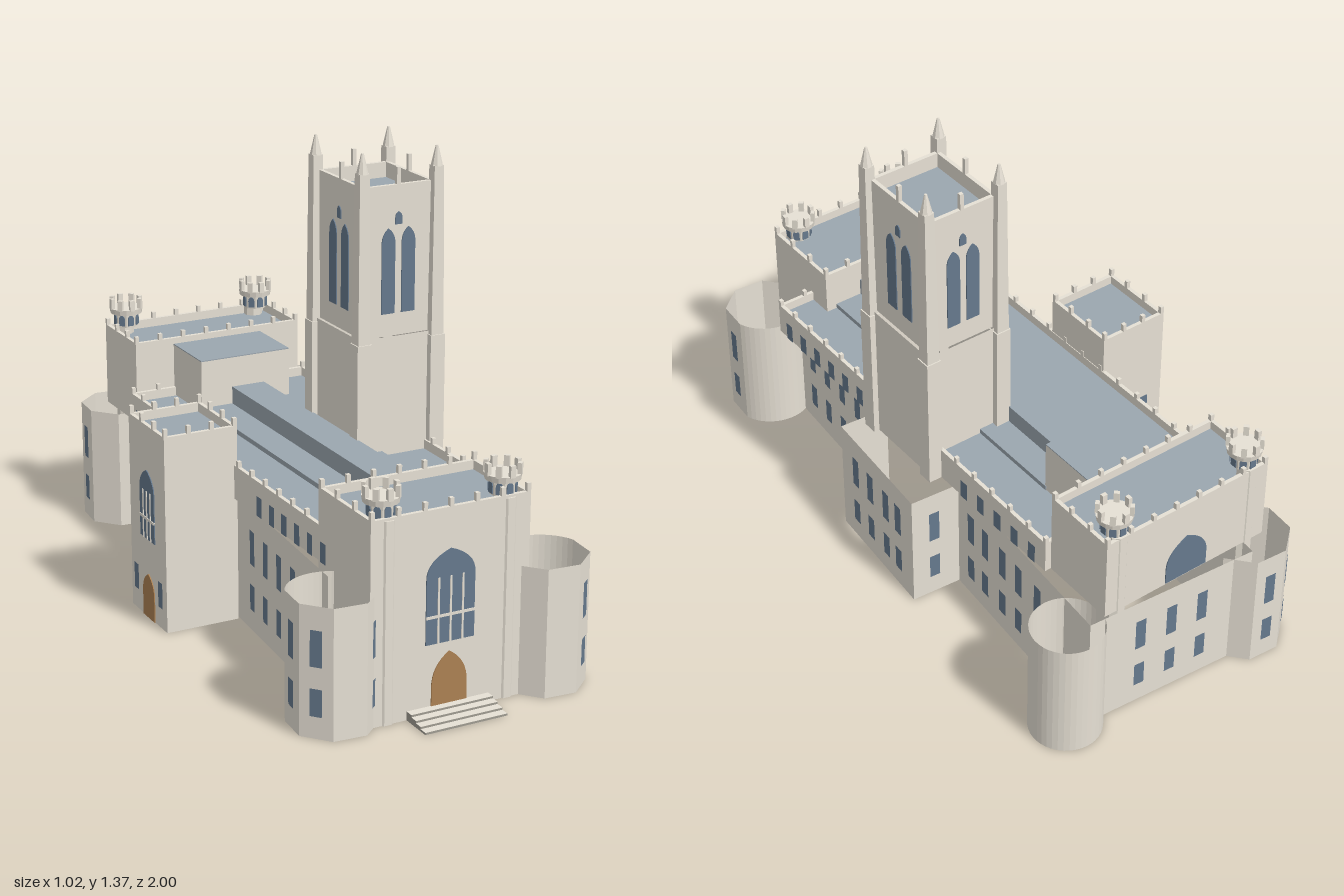
import * as THREE from 'three';

const mat = (name, color, extra = {}) => Object.assign(new THREE.MeshStandardMaterial({ color, ...extra }), { name });
const stone = mat('stone', 0xe6e0d4, { side: THREE.DoubleSide, flatShading: true });
const roofMat = mat('slate roof', 0x9ba6af);
const glass = mat('window glass', 0x66798d);
const wood = mat('door wood', 0xac8153);
const stepMat = mat('step riser', 0xa09c92);

const Q = Math.PI / 2;

function add(parent, name, geo, material, x = 0, y = 0, z = 0, ry = 0) {
  const m = new THREE.Mesh(geo, material);
  m.name = name;
  m.position.set(x, y, z);
  m.rotation.y = ry;
  parent.add(m);
  return m;
}

// Box given by its limits
function box(parent, name, material, x0, x1, y0, y1, z0, z1) {
  return add(parent, name, new THREE.BoxGeometry(x1 - x0, y1 - y0, z1 - z0), material, (x0 + x1) / 2, (y0 + y1) / 2, (z0 + z1) / 2);
}

// Four upright walls without floor or lid
function shell(parent, name, x0, x1, y0, y1, z0, z1) {
  const m = box(parent, name, stone, x0, x1, y0, y1, z0, z1);
  const idx = Array.from(m.geometry.index.array);
  m.geometry.clearGroups();
  m.geometry.setIndex([...idx.slice(0, 12), ...idx.slice(24)]);
}

// Pointed-arch plate whose foot centre is at the given place, facing angle ry
function arch(parent, name, material, w, spring, h, x, y, z, ry = 0) {
  const s = new THREE.Shape();
  s.moveTo(-w / 2, 0);
  s.lineTo(w / 2, 0);
  s.lineTo(w / 2, spring);
  s.quadraticCurveTo(w / 2, spring + (h - spring) * 0.65, 0, h);
  s.quadraticCurveTo(-w / 2, spring + (h - spring) * 0.65, -w / 2, spring);
  return add(parent, name, new THREE.ExtrudeGeometry(s, { depth: 0.003, bevelEnabled: false, curveSegments: 8 }), material, x, y, z, ry);
}

// Large arched window with mullions and a transom
function traceryWindow(parent, name, w, spring, h, x, y, z, ry) {
  const g = new THREE.Group();
  g.name = name;
  g.position.set(x, y, z);
  g.rotation.y = ry;
  parent.add(g);
  arch(g, 'glazing', glass, w, spring, h, 0, 0, 0);
  for (const k of [-0.25, 0, 0.25]) box(g, 'mullion', stone, k * w - 0.003, k * w + 0.003, 0, spring, 0, 0.005);
  box(g, 'transom', stone, -w / 2, w / 2, h * 0.28, h * 0.28 + 0.008, 0, 0.005);
}

// Flat window pane set just proud of a wall that faces ry
const pane = (parent, x, y, z, ry, w, h) =>
  add(parent, 'window', new THREE.PlaneGeometry(w, h), glass, x + Math.sin(ry) * 0.003, y, z + Math.cos(ry) * 0.003, ry);

// Two storeys of windows at one place on a wall
function windowPair(parent, x, z, ry, w = 0.034) {
  pane(parent, x, 0.105, z, ry, w, 0.08);
  pane(parent, x, 0.26, z, ry, w, 0.105);
}

// Flat-roofed block with parapet and slender battlement posts
function block(parent, name, x0, x1, z0, z1, y0, roofY, topY, post = 0.024) {
  const g = new THREE.Group();
  g.name = name;
  parent.add(g);
  const t = 0.012;
  shell(g, 'walls', x0, x1, y0, roofY, z0, z1);
  box(g, 'roof', roofMat, x0 + 0.001, x1 - 0.001, roofY - 0.004, roofY, z0 + 0.001, z1 - 0.001);
  box(g, 'parapet', stone, x0, x1, roofY, topY, z0, z0 + t);
  box(g, 'parapet', stone, x0, x1, roofY, topY, z1 - t, z1);
  box(g, 'parapet', stone, x0, x0 + t, roofY, topY, z0, z1);
  box(g, 'parapet', stone, x1 - t, x1, roofY, topY, z0, z1);
  const postGeo = new THREE.BoxGeometry(t, post, t);
  const nx = Math.round((x1 - x0) / 0.085), nz = Math.round((z1 - z0) / 0.085);
  const lerp = THREE.MathUtils.lerp;
  for (let i = 0; i <= nx; i++)
    for (const z of [z0 + t / 2, z1 - t / 2]) add(g, 'battlement', postGeo, stone, lerp(x0 + t / 2, x1 - t / 2, i / nx), topY + post / 2, z);
  for (let i = 1; i < nz; i++)
    for (const x of [x0 + t / 2, x1 - t / 2]) add(g, 'battlement', postGeo, stone, x, topY + post / 2, lerp(z0, z1, i / nz));
}

// Corner turret: slim shaft, drum with slit windows, crown of merlons
function turret(parent, x, y, z, shaftZ) {
  const g = new THREE.Group();
  g.name = 'cornerTurret';
  parent.add(g);
  add(g, 'shaft', new THREE.CylinderGeometry(0.03, 0.03, y, 8, 1, false, Math.PI / 8), stone, x, y / 2, shaftZ);
  add(g, 'drum', new THREE.CylinderGeometry(0.04, 0.036, 0.045, 8, 1, false, Math.PI / 8), stone, x, y + 0.02, z);
  add(g, 'crownRing', new THREE.CylinderGeometry(0.053, 0.05, 0.018, 16), stone, x, y + 0.05, z);
  for (let i = 0; i < 8; i++) {
    const a = i * Math.PI / 4, s = Math.sin(a), c = Math.cos(a);
    arch(g, 'turretWindow', glass, 0.02, 0.02, 0.036, x + s * 0.036, y + 0.004, z + c * 0.036, a);
    add(g, 'merlon', new THREE.BoxGeometry(0.016, 0.034, 0.012), stone, x + s * 0.047, y + 0.073, z + c * 0.047, a);
  }
}

// Low outer range: open-topped wall ring with corner bays
function outerRange(parent) {
  const g = new THREE.Group();
  g.name = 'outerRange';
  g.position.set(0.024, 0, -0.01);
  g.rotation.y = -0.075;
  parent.add(g);
  const H = 0.38, R = 0.26, L = -0.29, B = -0.915, P = 0.418, P0 = -0.232, P1 = 0.178;
  const path = [[L, 0.76], [L, B], [R, B], [R, P0], [P, P0], [P, P1], [R, P1], [R, 0.76]];
  for (let i = 0; i + 1 < path.length; i++) {
    const [ax, az] = path[i], [bx, bz] = path[i + 1];
    add(g, 'lowWall', new THREE.PlaneGeometry(Math.hypot(bx - ax, bz - az), H), stone,
      (ax + bx) / 2, H / 2, (az + bz) / 2, Math.atan2(-(bz - az), bx - ax));
  }
  for (const w of [0.645, 0.552, 0.457, 0.361, 0.27, -0.305, -0.382, -0.475, -0.56, -0.657]) windowPair(g, R, w, Q);
  for (const w of [0.093, 0.008, -0.083, -0.153]) windowPair(g, P, w, Q);
  windowPair(g, 0.345, P1, 0);
  windowPair(g, 0.345, P0, Math.PI);
  for (const w of [0.62, 0.52, 0.42, 0.32, 0.22, -0.28, -0.38, -0.48, -0.58, -0.68]) windowPair(g, L, w, -Q);
  for (const u of [-0.12, -0.015, 0.09]) windowPair(g, u, B, Math.PI);

  // Front bays are faceted in front and rounded behind; one rear bay is round, one faceted
  const e = Math.PI / 8, A = 0.118;
  const bay = (x, z, sides, start, length, r = A / Math.cos(e)) =>
    add(g, 'cornerBay', new THREE.CylinderGeometry(r, r, H, sides, 1, true, start, length), stone, x, H / 2, z);
  const bayWindow = (x, z, a) => windowPair(g, x + Math.sin(a) * A, z + Math.cos(a) * A, a);
  for (const [s, x, z] of [[1, 0.323, 0.832], [-1, -0.314, 0.845]]) {
    bay(x, z, 5, -5 * e, 10 * e);
    bay(x, z, 18, 5 * e, 6 * e);
    bayWindow(x, z, s * Q);
    bayWindow(x, z, s * Q / 2);
    if (s < 0) bayWindow(x, z, Q / 2);
  }
  bay(0.312, -0.881, 40, 0, Math.PI * 2, 0.107);
  bay(-0.322, -0.845, 8, e, Math.PI * 2);
  for (const a of [-Q, -1.5 * Q, Math.PI]) bayWindow(-0.322, -0.845, a);
}

// Main tower with stepped corner buttresses, lancets and pinnacles
function tower(parent) {
  const g = new THREE.Group();
  g.name = 'tower';
  g.position.x = 0.216;
  parent.add(g);
  shell(g, 'lowerStage', -0.128, 0.128, 0.38, 0.82, -0.145, 0.145);
  box(g, 'upperStage', stone, -0.118, 0.118, 0.82, 1.22, -0.138, 0.138);
  box(g, 'towerRoof', roofMat, -0.11, 0.11, 1.22, 1.224, -0.13, 0.13);
  for (const s of [-1, 1]) {
    box(g, 'parapet', stone, -0.118, 0.118, 1.22, 1.27, s * 0.132 - 0.006, s * 0.132 + 0.006);
    box(g, 'parapet', stone, s * 0.112 - 0.006, s * 0.112 + 0.006, 1.22, 1.27, -0.138, 0.138);
    box(g, 'battlement', stone, -0.006, 0.006, 1.27, 1.32, s * 0.132 - 0.006, s * 0.132 + 0.006);
    box(g, 'battlement', stone, s * 0.112 - 0.006, s * 0.112 + 0.006, 1.27, 1.32, -0.006, 0.006);
    for (const t of [-1, 1]) {
      const x = s * 0.122, z = t * 0.142;
      box(g, 'lowerButtress', stone, x - 0.024, x + 0.024, 0.38, 0.81, z - 0.024, z + 0.024);
      add(g, 'upperButtress', new THREE.CylinderGeometry(0.022, 0.029, 0.51, 4, 1, false, Math.PI / 4), stone, x, 1.06, z);
      add(g, 'pinnacle', new THREE.CylinderGeometry(0.004, 0.018, 0.06, 8, 1, false, Math.PI / 8), stone, x, 1.343, z);
    }
    const rz = s > 0 ? 0 : Math.PI, rx = s * Q;
    for (const o of [-0.033, 0.033]) {
      arch(g, 'lancet', glass, 0.044, 0.21, 0.255, o, 0.888, s * 0.138, rz);
      arch(g, 'lancet', glass, 0.044, 0.21, 0.255, s * 0.118, 0.888, o * 1.1, rx);
    }
    arch(g, 'smallLight', glass, 0.022, 0.02, 0.038, 0, 1.153, s * 0.138, rz);
    arch(g, 'smallLight', glass, 0.022, 0.02, 0.038, s * 0.118, 1.153, 0, rx);
  }
}

export function createModel() {
  const model = new THREE.Group();
  model.name = 'castle';
  outerRange(model);

  // Central hall with clerestory windows and stepped ridge roof
  block(model, 'mainHall', -0.29, 0.32, -0.66, 0.7, 0.38, 0.455, 0.483, 0.018);
  for (const [x, ry] of [[-0.29, -Q], [0.32, Q]])
    for (const z of [0.64, 0.562, 0.485, 0.407, 0.33, 0.252, -0.28, -0.36, -0.44, -0.52, -0.6])
      pane(model, x, 0.41, z, ry, 0.032, 0.06);
  box(model, 'lowerRoofStep', roofMat, -0.13, 0.165, 0.455, 0.47, -0.46, 0.615);
  box(model, 'ridgeRoof', roofMat, -0.035, 0.075, 0.47, 0.525, -0.46, 0.615);
  box(model, 'roofHouse', stone, -0.14, 0.163, 0.456, 0.62, -0.66, -0.455);
  box(model, 'roofHouseTop', roofMat, -0.14, 0.163, 0.62, 0.623, -0.66, -0.455);

  // Front gatehouse
  block(model, 'frontBlock', -0.29, 0.2, 0.61, 0.9, 0, 0.565, 0.592);
  for (const x of [-0.235, 0.138]) turret(model, x, 0.585, 0.855, 0.877);
  traceryWindow(model, 'greatWindow', 0.15, 0.19, 0.268, -0.046, 0.207, 0.9, 0);
  arch(model, 'frontDoor', wood, 0.11, 0.08, 0.178, -0.046, 0, 0.9);
  for (let i = 0; i < 4; i++) {
    const top = 0.0065 * (i + 1), z = 1 - i * 0.025;
    box(model, 'stepRiser', stepMat, -0.175, 0.08, 0, top - 0.0004, 0.89, z);
    box(model, 'stepTread', stone, -0.175, 0.08, top - 0.0004, top, z - 0.025, z);
  }

  // Rear block
  block(model, 'rearBlock', -0.27, 0.3, -0.9, -0.66, 0.38, 0.615, 0.642, 0.02);
  for (const x of [-0.215, 0.245]) turret(model, x, 0.645, -0.86, -0.875);
  arch(model, 'rearWindow', glass, 0.145, 0.05, 0.14, 0.015, 0.385, -0.9, Math.PI);

  // Side transept with its own door
  block(model, 'sideTransept', -0.51, -0.28, -0.165, 0.085, 0, 0.575, 0.602);
  traceryWindow(model, 'transeptWindow', 0.1, 0.15, 0.215, -0.51, 0.25, -0.04, -Q);
  arch(model, 'sideDoor', wood, 0.08, 0.08, 0.14, -0.51, 0, -0.04, -Q);
  for (const z of [-0.125, 0.045]) pane(model, -0.51, 0.105, z, -Q, 0.03, 0.08);
  for (const x of [-0.44, -0.35]) windowPair(model, x, -0.165, Math.PI);

  tower(model);
  return model;
}
